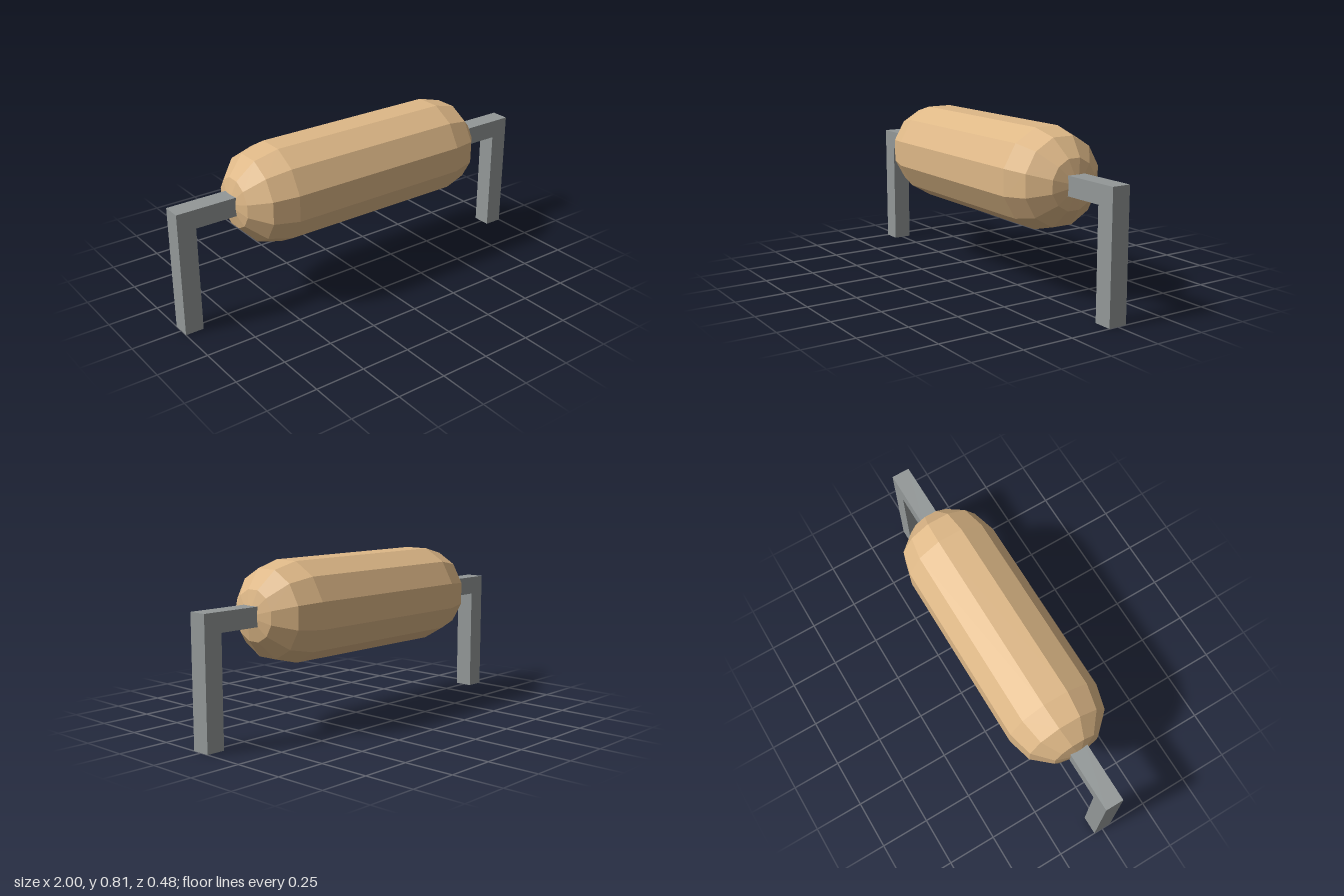
import * as THREE from 'three';

const tan = new THREE.MeshStandardMaterial({ color: 0xdeb887 });
tan.name = 'tan';
const grey = new THREE.MeshStandardMaterial({ color: 0x939898 });
grey.name = 'grey';

const SIDES = 12;
const AXIS_Y = 0.573;

// Faceted capsule, turned about the x axis with flats on top and bottom
function makeRoller() {
  const half = [[0.246, 0.475], [0.213, 0.598], [0.123, 0.682], [0, 0.714]];
  const profile = [
    ...half.map(([r, x]) => new THREE.Vector2(r, -x)).reverse(),
    ...half.map(([r, x]) => new THREE.Vector2(r, x)),
  ];
  const lathe = new THREE.LatheGeometry(profile, SIDES, Math.PI / SIDES);
  lathe.rotateZ(Math.PI / 2);
  const geometry = lathe.toNonIndexed();
  geometry.computeVertexNormals();
  const roller = new THREE.Mesh(geometry, tan);
  roller.name = 'roller';
  roller.position.y = AXIS_Y;
  return roller;
}

// Square bar bent into an upright leg and a horizontal axle
function makeBracket(name, turn) {
  const bar = 0.093, top = 0.621, inner = 0.66;
  const outline = new THREE.Shape([
    [1 - bar, 0], [1, 0], [1, top], [inner, top], [inner, top - bar], [1 - bar, top - bar],
  ].map(([x, y]) => new THREE.Vector2(x, y)));
  const geometry = new THREE.ExtrudeGeometry(outline, { depth: bar, bevelEnabled: false });
  geometry.translate(0, 0, -bar / 2);
  const bracket = new THREE.Mesh(geometry, grey);
  bracket.name = name;
  bracket.rotation.y = turn;
  return bracket;
}

export function createModel() {
  const model = new THREE.Group();
  model.name = 'rollerOnBrackets';
  model.add(
    makeRoller(),
    makeBracket('leftBracket', 0),
    makeBracket('rightBracket', Math.PI),
  );
  return model;
}
